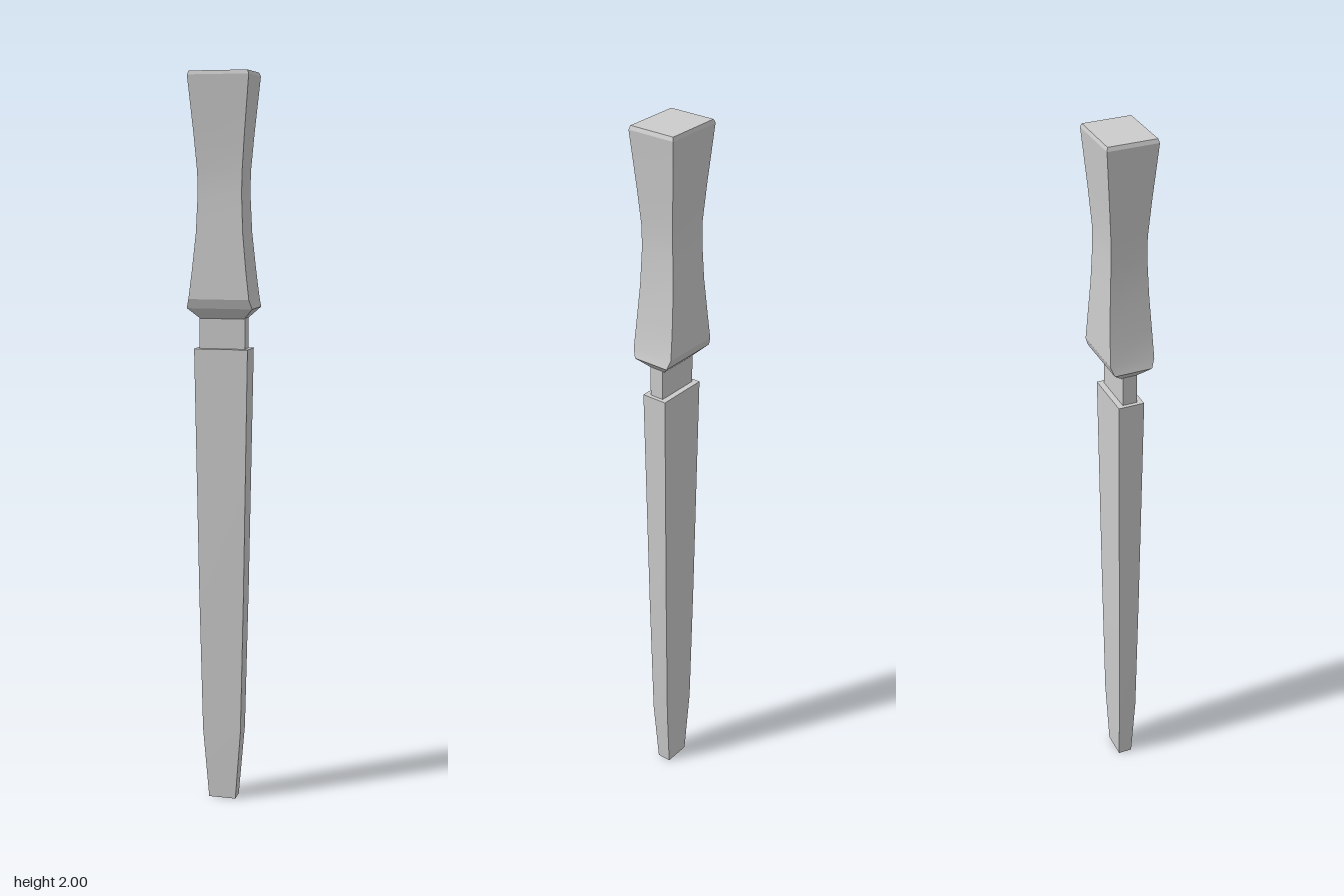
import * as THREE from 'three';
import { toCreasedNormals } from 'three/addons/utils/BufferGeometryUtils.js';

const material = new THREE.MeshStandardMaterial({ color: 0xcccccc });

// Lofts rectangular sections [y, halfWidth, halfDepth], listed bottom to top, and caps both ends.
function loft(name, sections, z = 0) {
  const positions = [], index = [];
  for (const [y, w, d] of sections) {
    positions.push(-w, y, d, w, y, d, w, y, -d, -w, y, -d);
  }
  for (let i = 0; i < sections.length - 1; i++) {
    for (let j = 0; j < 4; j++) {
      const a = i * 4 + j, b = i * 4 + (j + 1) % 4;
      index.push(a, b, b + 4, a, b + 4, a + 4);
    }
  }
  const t = (sections.length - 1) * 4;
  index.push(0, 2, 1, 0, 3, 2, t, t + 1, t + 2, t, t + 2, t + 3);
  const geometry = new THREE.BufferGeometry();
  geometry.setAttribute('position', new THREE.Float32BufferAttribute(positions, 3));
  geometry.setIndex(index);
  const mesh = new THREE.Mesh(toCreasedNormals(geometry, 0.3), material);
  mesh.name = name;
  mesh.position.z = z;
  return mesh;
}

export function createModel() {
  const model = new THREE.Group();
  model.name = 'chisel';

  // Tapered blade, narrowing faster near the blunt tip
  model.add(loft('blade', [
    [0, 0.038, 0.02],
    [0.2, 0.054, 0.026],
    [0.6, 0.063, 0.03],
    [1.27, 0.074, 0.036],
  ]));

  // Thin tang joining blade and grip
  model.add(loft('neck', [
    [1.265, 0.063, 0.02],
    [1.36, 0.063, 0.02],
  ]));

  // Waisted grip with a flared, chamfered base and a bevelled top
  model.add(loft('grip', [
    [1.35, 0.06, 0.021],
    [1.38, 0.09, 0.052],
    [1.405, 0.083, 0.061],
    [1.48, 0.074, 0.058],
    [1.58, 0.064, 0.053],
    [1.68, 0.06, 0.049],
    [1.74, 0.061, 0.049],
    [1.84, 0.069, 0.056],
    [1.99, 0.083, 0.068],
    [2, 0.079, 0.065],
  ], -0.002));

  return model;
}
